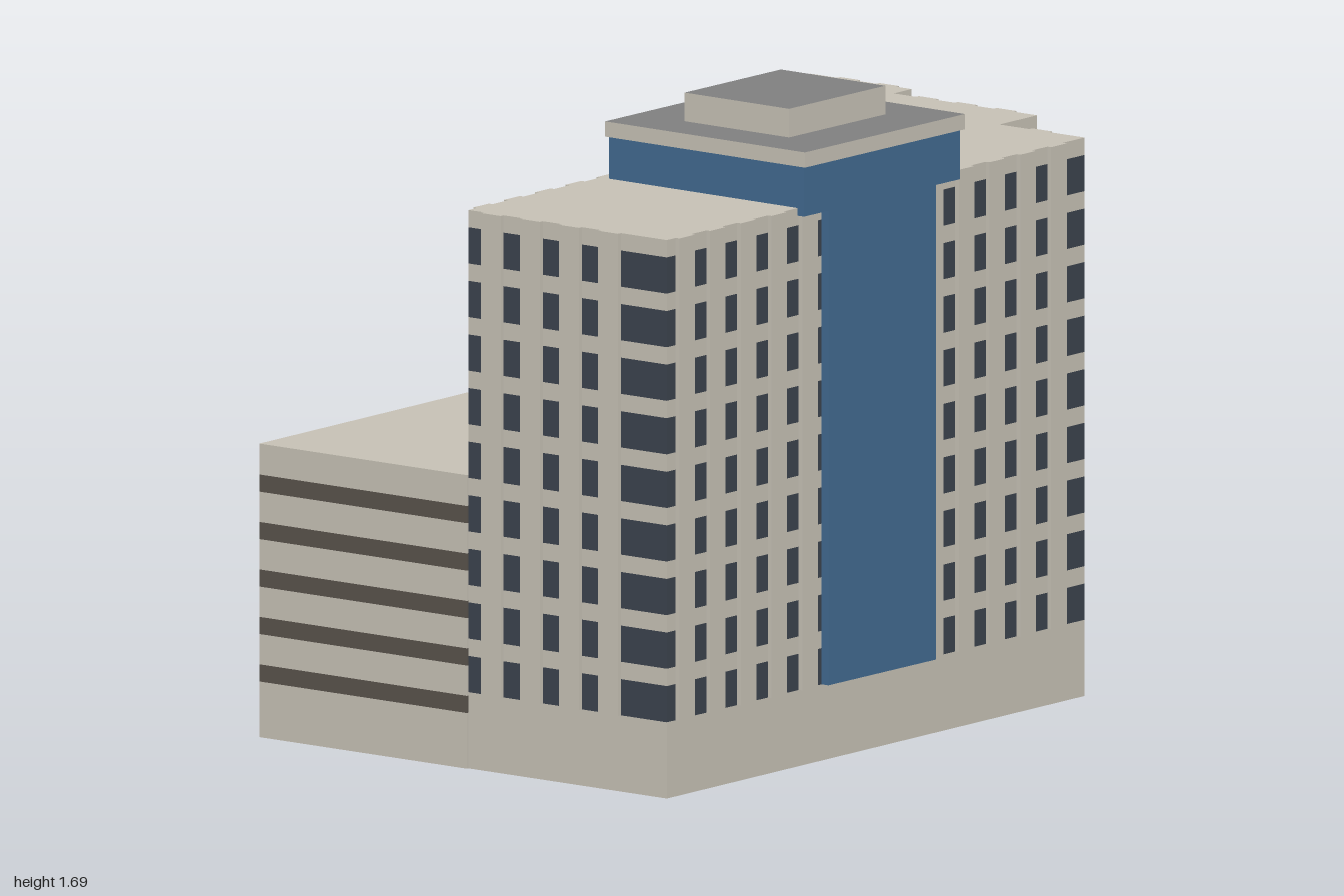
import * as THREE from 'three';

const paint = (name, color) => {
  const m = new THREE.MeshStandardMaterial({ color });
  m.name = name;
  return m;
};

export function createModel() {
  const stone = paint('pale stone', 0xc5c0b4);
  const glass = paint('dark window glass', 0x3b424d);
  const blue = paint('blue cladding', 0x41698f);
  const brown = paint('brown strip windows', 0x58524b);
  const grey = paint('grey roofing', 0x7f7f7f);

  const model = new THREE.Group();
  model.name = 'officeBuilding';
  // Wings sit at a very slight angle to the penthouse
  const wings = new THREE.Group();
  wings.name = 'wings';
  wings.rotation.y = 0.011;
  model.add(wings);

  const add = (parent, name, geometry, material) => {
    const mesh = new THREE.Mesh(geometry, material);
    mesh.name = name;
    parent.add(mesh);
  };
  // Box from its limits
  const box = (parent, name, x0, x1, y0, y1, z0, z1, material) => {
    const g = new THREE.BoxGeometry(x1 - x0, y1 - y0, z1 - z0);
    g.translate((x0 + x1) / 2, (y0 + y1) / 2, (z0 + z1) / 2);
    add(parent, name, g, material);
  };
  // Upright prism over a plan of [x, z] points
  const prism = (name, plan, y0, y1, material) => {
    const shape = new THREE.Shape(plan.map(([x, z]) => new THREE.Vector2(x, -z)));
    const g = new THREE.ExtrudeGeometry(shape, { depth: y1 - y0, bevelEnabled: false });
    g.rotateX(-Math.PI / 2);
    g.translate(0, y0, 0);
    add(wings, name, g, material);
  };

  // Tower: base, then nine floors of window band and spandrel
  const X = { left: -0.432, inner: 0, right: 0.649 };
  const Z = { back: -0.988, mid: -0.914, near: -0.757, inner: -0.168, front: 0.981 };
  const plan = [
    [X.inner, Z.front], [X.right, Z.front], [X.right, Z.near], [0.37, Z.near], [0.37, Z.mid],
    [-0.1, Z.mid], [-0.1, Z.back], [X.left, Z.back], [X.left, Z.inner], [X.inner, Z.inner],
  ];
  const baseTop = 0.2, roofY = 1.465, floors = 9;
  const pitch = (roofY - baseTop) / floors;
  prism('towerBase', plan, 0, baseTop, stone);
  for (let i = 0; i < floors; i++) {
    const y = baseTop + i * pitch;
    prism('windowBand', plan, y, y + 0.095, glass);
    prism('spandrel', plan, y + 0.095, y + pitch, stone);
  }

  // Piers standing proud of each wall
  const half = 0.0325, out = 0.012, step = 0.128;
  const row = (start, count, d = step) => Array.from({ length: count }, (_, i) => start + i * d);
  const piersAlongX = (z, side, xs) => xs.forEach((x) => {
    const a = z + side * out, b = z - side * 0.01;
    box(wings, 'pier', x - half, x + half, baseTop, roofY, Math.min(a, b), Math.max(a, b), stone);
  });
  const piersAlongZ = (x, side, zs) => zs.forEach((z) => {
    const a = x + side * out, b = x - side * 0.01;
    box(wings, 'pier', Math.min(a, b), Math.max(a, b), baseTop, roofY, z - half, z + half, stone);
  });
  piersAlongX(Z.front, 1, row(0.082, 4));
  piersAlongX(Z.inner, 1, row(-0.346, 3, 0.13));
  piersAlongX(Z.back, -1, row(-0.31, 2));
  piersAlongX(Z.mid, -1, row(0.005, 3));
  piersAlongX(Z.near, -1, [0.5]);
  piersAlongZ(X.right, 1, [...row(0.4, 5), ...row(-0.635, 5)]);
  piersAlongZ(X.left, -1, row(-0.862, 5));
  piersAlongZ(X.inner, -1, row(-0.11, 9));

  // Low block: stone with five brown window strips
  const lowTop = 0.77;
  const low = (name, y0, y1, material) =>
    box(wings, name, -0.681, -0.001, y0, y1, -0.026, 0.987, material);
  let y = 0;
  for (let i = 0; i < 5; i++) {
    const s = 0.146 + i * 0.1245;
    low('lowBlockWall', y, s, stone);
    low('lowBlockStrip', s, s + 0.045, brown);
    y = s + 0.045;
  }
  low('lowBlockWall', y, lowTop, stone);
  box(wings, 'lowBlockLink', -0.43, -0.001, 0, lowTop, Z.inner, -0.026, stone);

  // Blue lift shaft and penthouse with stepped, grey-topped roof
  box(model, 'shaftPanel', 0.5, 0.675, baseTop, roofY, -0.112, 0.33, blue);
  box(model, 'penthouse', 0.03, 0.675, roofY - 0.02, 1.575, -0.21, 0.43, blue);
  const capped = [stone, stone, grey, stone, stone, stone];
  box(model, 'penthouseCap', 0.022, 0.682, 1.575, 1.615, -0.222, 0.435, capped);
  box(model, 'plantRoom', 0.18, 0.525, 1.615, 1.69, -0.09, 0.305, capped);

  return model;
}
